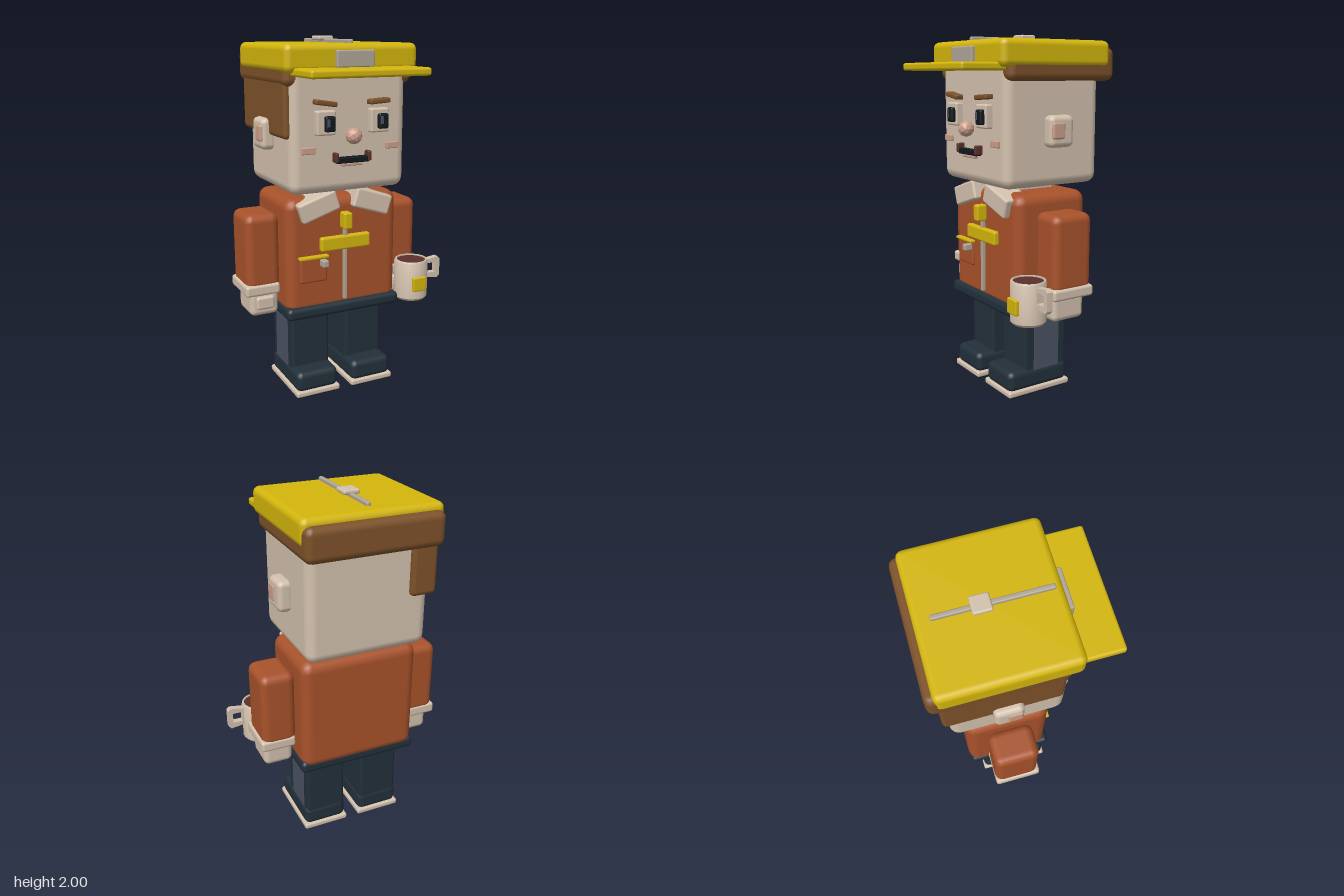
import * as THREE from 'three';
import { RoundedBoxGeometry } from 'three/addons/geometries/RoundedBoxGeometry.js';
import { toCreasedNormals } from 'three/addons/utils/BufferGeometryUtils.js';

const paint = (name, color) => {
  const m = new THREE.MeshStandardMaterial({ color });
  m.name = name;
  return m;
};

export function createModel() {
  const yellow = paint('yellow', 0xd4b60c);
  const cream = paint('cream', 0xd3c1ae);
  const orange = paint('orange', 0xa8522b);
  const navy = paint('navy', 0x22303a);
  const slate = paint('slate', 0x4a5262);
  const brown = paint('hair brown', 0x7c5129);
  const metal = paint('metal', 0xb0a697);
  const coffee = paint('coffee', 0x5a302c);
  const pink = paint('pink', 0xcb9f8a);
  const black = paint('black', 0x12181e);

  // Figure is symmetric about its own middle, shifted to make room for the mug
  const figure = new THREE.Group();
  figure.name = 'figure';
  figure.position.x = -0.045;

  const add = (name, geometry, material, x = 0, y = 0, z = 0) => {
    const mesh = new THREE.Mesh(geometry, material);
    mesh.name = name;
    mesh.position.set(x, y, z);
    figure.add(mesh);
    return mesh;
  };

  // Rounded box given by its bounds
  const box = (name, mat, [x0, x1], [y0, y1], [z0, z1], r = 0.01) => {
    const w = x1 - x0, h = y1 - y0, d = z1 - z0;
    const radius = Math.min(r, w * 0.45, h * 0.45, d * 0.45);
    return add(name, new RoundedBoxGeometry(w, h, d, 2, radius), mat,
      (x0 + x1) / 2, (y0 + y1) / 2, (z0 + z1) / 2);
  };

  // Same box on both sides
  const pair = (name, mat, [x0, x1], y, z, r) => [
    box(name + 'Left', mat, [x0, x1], y, z, r),
    box(name + 'Right', mat, [-x1, -x0], y, z, r),
  ];

  // Head and neck
  box('head', cream, [-0.34, 0.34], [1.19, 1.88], [-0.395, 0.22], 0.055);
  box('neck', cream, [-0.16, 0.16], [1.1, 1.25], [-0.22, 0.01], 0.02);
  pair('ear', cream, [0.32, 0.405], [1.405, 1.575], [-0.175, -0.02], 0.03);
  pair('innerEar', pink, [0.38, 0.412], [1.45, 1.54], [-0.11, -0.03], 0.012);

  // Hair
  box('hairBand', brown, [-0.372, 0.372], [1.75, 1.93], [-0.475, 0.215], 0.04);
  box('hairSide', brown, [-0.365, -0.22], [1.485, 1.8], [-0.425, 0.19], 0.025);

  // Cap
  box('capCrown', yellow, [-0.38, 0.38], [1.82, 1.965], [-0.435, 0.262], 0.035);
  box('capVisor', yellow, [-0.335, 0.335], [1.805, 1.847], [0.15, 0.47], 0.014);
  box('capBadge', metal, [-0.108, 0.108], [1.845, 1.932], [0.25, 0.284], 0.008);
  box('capRidge', metal, [-0.013, 0.013], [1.955, 1.984], [-0.355, 0.225], 0.008);
  box('capButton', cream, [-0.046, 0.046], [1.975, 2.0], [-0.17, -0.075], 0.01);

  // Face
  pair('eye', cream, [0.102, 0.21], [1.505, 1.632], [0.2, 0.26], 0.01);
  for (const x of [-0.143, 0.167]) {
    box('pupil', black, [x - 0.028, x + 0.028], [1.525, 1.605], [0.25, 0.284], 0.01);
    box('pupilGlint', slate, [x - 0.021, x - 0.004], [1.55, 1.592], [0.276, 0.287], 0.003);
  }
  const [browLeft, browRight] = pair('eyebrow', brown, [0.095, 0.217], [1.656, 1.682], [0.21, 0.265], 0.008);
  browLeft.rotation.z = 0.06;
  browRight.rotation.z = -0.15;
  pair('cheek', pink, [0.21, 0.284], [1.41, 1.446], [0.2, 0.238], 0.005);
  const nose = add('nose', new THREE.IcosahedronGeometry(0.044, 1), pink, 0, 1.495, 0.258);
  nose.geometry = toCreasedNormals(nose.geometry, 0.3);
  box('mouth', black, [-0.095, 0.095], [1.352, 1.384], [0.2, 0.255], 0.006);
  pair('mouthCorner', coffee, [0.085, 0.107], [1.358, 1.41], [0.2, 0.262], 0.007);
  box('lowerLip', pink, [-0.06, 0.06], [1.336, 1.354], [0.2, 0.25], 0.006);

  // Jacket
  box('torso', orange, [-0.34, 0.34], [0.5, 1.157], [-0.32, 0.147], 0.06);
  box('belt', navy, [-0.347, 0.347], [0.477, 0.547], [-0.313, 0.168], 0.025);
  const [collarLeft, collarRight] = pair('collar', cream, [0.047, 0.277], [1.056, 1.168], [0.02, 0.185], 0.014);
  collarLeft.rotation.z = -0.31;
  collarRight.rotation.z = 0.31;
  box('zipper', metal, [-0.011, 0.011], [0.56, 1.0], [0.12, 0.168], 0.006);
  box('zipperPull', yellow, [-0.025, 0.025], [0.975, 1.068], [0.14, 0.205], 0.01);
  box('chestStripe', yellow, [-0.15, 0.15], [0.855, 0.935], [0.12, 0.176], 0.012);
  box('pocket', orange, [-0.27, -0.11], [0.685, 0.83], [0.12, 0.162], 0.012);
  box('pocketTrim', yellow, [-0.278, -0.105], [0.822, 0.838], [0.12, 0.178], 0.005);
  box('pocketButton', metal, [-0.155, -0.118], [0.775, 0.815], [0.14, 0.205], 0.008);

  // Arms and hands
  pair('arm', orange, [0.335, 0.531], [0.64, 1.068], [-0.21, 0.04], 0.045);
  pair('cuff', cream, [0.345, 0.542], [0.612, 0.675], [-0.212, 0.05], 0.016);
  pair('hand', cream, [0.35, 0.515], [0.49, 0.63], [-0.17, 0.035], 0.03);
  pair('thumb', cream, [0.38, 0.485], [0.53, 0.605], [-0.02, 0.052], 0.015);

  // Legs and shoes
  pair('leg', navy, [0.053, 0.287], [0.1, 0.5], [-0.226, 0.06], 0.02);
  pair('legStripe', slate, [0.282, 0.291], [0.13, 0.48], [-0.17, 0], 0.002);
  pair('shoe', navy, [0.045, 0.298], [0.035, 0.155], [-0.23, 0.168], 0.035);
  pair('shoeSole', cream, [0.037, 0.306], [0.012, 0.047], [-0.238, 0.175], 0.012);
  pair('shoeTread', black, [0.055, 0.288], [0, 0.03], [-0.218, 0.155], 0.004);

  // Mug of coffee, held in the left hand
  const profile = [[0, 0], [0.085, 0], [0.098, 0.015], [0.098, 0.225], [0.093, 0.235], [0.084, 0.235], [0.084, 0.19]]
    .map(([r, y]) => new THREE.Vector2(r, y));
  add('mug', toCreasedNormals(new THREE.LatheGeometry(profile, 18), 0.6), cream, 0.44, 0.497, 0.146);
  add('mugCoffee', new THREE.CylinderGeometry(0.085, 0.085, 0.02, 18), coffee, 0.44, 0.715, 0.146);
  box('mugLabel', yellow, [0.397, 0.483], [0.56, 0.645], [0.225, 0.254], 0.008);
  const ring = new THREE.Shape([[0, 0.012], [0.085, 0], [0.1, 0.015], [0.1, 0.115], [0.085, 0.13], [0, 0.118]]
    .map(([x, y]) => new THREE.Vector2(x, y)));
  ring.holes.push(new THREE.Path([[0.015, 0.036], [0.015, 0.096], [0.072, 0.096], [0.072, 0.036]]
    .map(([x, y]) => new THREE.Vector2(x, y))));
  add('mugHandle', new THREE.ExtrudeGeometry(ring, { depth: 0.036, bevelEnabled: false }), cream, 0.53, 0.595, 0.128);

  const model = new THREE.Group();
  model.name = 'worker';
  model.add(figure);
  return model;
}
